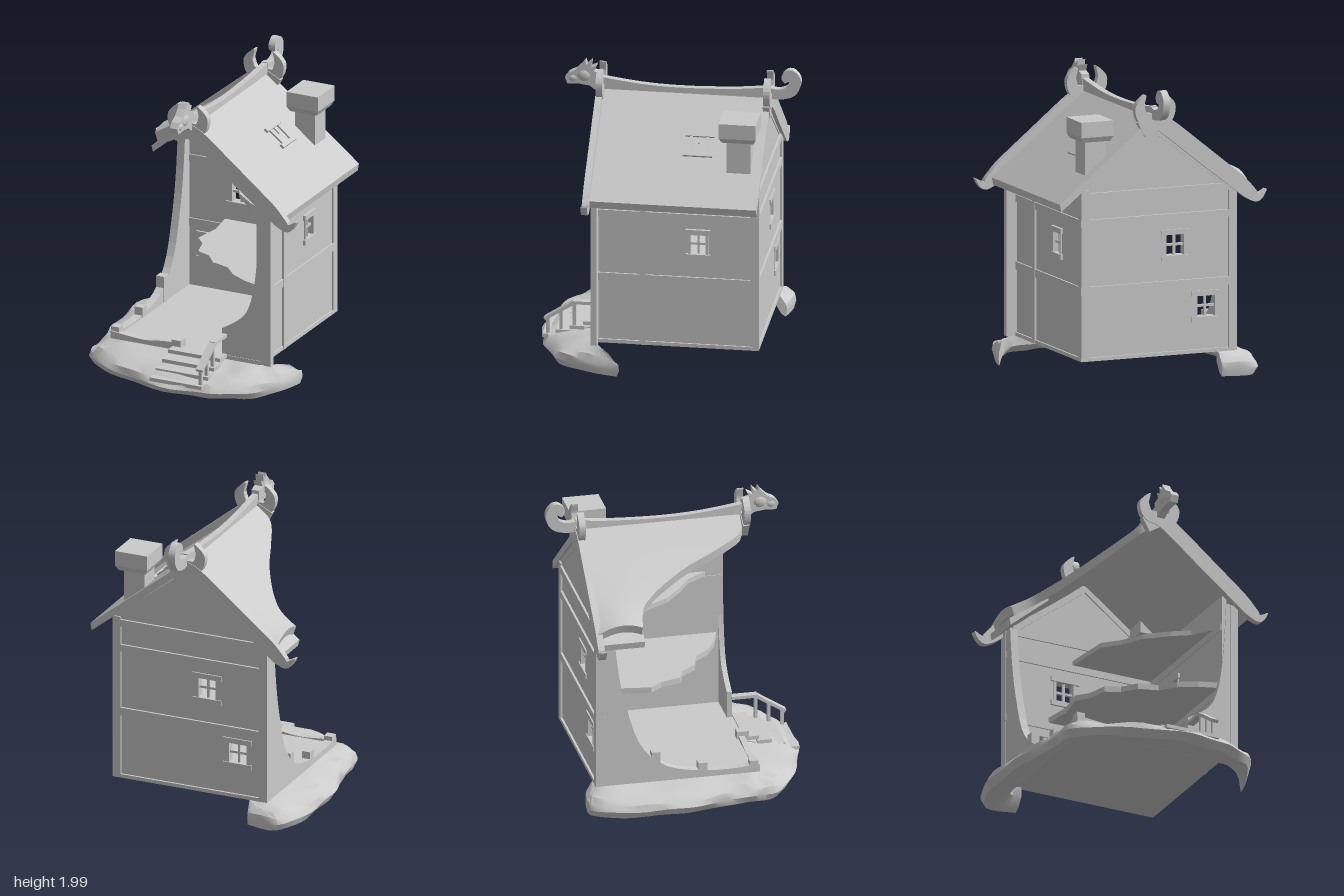
import * as THREE from 'three';
import { toCreasedNormals } from 'three/addons/utils/BufferGeometryUtils.js';

const mat = new THREE.MeshStandardMaterial({ color: 0xcccccc, side: THREE.DoubleSide });
const V2 = (p) => new THREE.Vector2(p[0], p[1]);

function add(parent, geo, name) {
  const m = new THREE.Mesh(geo, mat);
  m.name = name;
  parent.add(m);
  return m;
}

// Box given by its minimum and maximum on each axis
function box(parent, name, x0, x1, y0, y1, z0, z1) {
  const m = add(parent, new THREE.BoxGeometry(x1 - x0, y1 - y0, z1 - z0), name);
  m.position.set((x0 + x1) / 2, (y0 + y1) / 2, (z0 + z1) / 2);
  return m;
}

// Beam between two points
function beam(parent, name, a, b, w, h) {
  const A = new THREE.Vector3(...a), B = new THREE.Vector3(...b);
  const m = add(parent, new THREE.BoxGeometry(w, h, A.distanceTo(B)), name);
  m.position.copy(A).lerp(B, 0.5);
  m.lookAt(B);
  return m;
}

// Flat outline in x,y, extruded from z0 to z1, with rectangular holes [x0, x1, y0, y1]
function plate(parent, name, pts, z0, z1, holes = []) {
  const s = new THREE.Shape(pts.map(V2));
  for (const [a, b, c, d] of holes)
    s.holes.push(new THREE.Path([[a, c], [a, d], [b, d], [b, c]].map(V2)));
  const g = new THREE.ExtrudeGeometry(s, { depth: z1 - z0, bevelEnabled: false });
  g.translate(0, 0, z0);
  return add(parent, g, name);
}

// Same, but the outline lies in z,y and the thickness runs from x0 to x1
function sidePlate(parent, name, pts, x0, x1, holes) {
  const m = plate(parent, name, pts, -x1, -x0, holes);
  m.geometry.rotateY(-Math.PI / 2);
  return m;
}

const smooth = (pts, n = 24) => new THREE.SplineCurve(pts.map(V2)).getPoints(n).map((p) => [p.x, p.y]);

// Outline of a curved band with a width at each point of its centre line
function band(pts, widths, n = 48) {
  const c = new THREE.SplineCurve(pts.map(V2)), l = [], r = [];
  for (let i = 0; i <= n; i++) {
    const t = i / n, p = c.getPoint(t), d = c.getTangent(t);
    const f = t * (widths.length - 1), k = Math.min(Math.floor(f), widths.length - 2);
    const w = THREE.MathUtils.lerp(widths[k], widths[k + 1], f - k) / 2;
    l.push([p.x - d.y * w, p.y + d.x * w]);
    r.unshift([p.x + d.y * w, p.y - d.x * w]);
  }
  return l.concat(r);
}

// Closed solid from a row of equal loops of points
function loft(rings, crease) {
  const n = rings[0].length, last = (rings.length - 1) * n, idx = [];
  for (let i = 0; i < rings.length - 1; i++)
    for (let j = 0; j < n; j++) {
      const a = i * n + j, b = i * n + (j + 1) % n;
      idx.push(a, b, b + n, a, b + n, a + n);
    }
  for (let j = 0; j < n / 2 - 1; j++) {
    const a = j, b = j + 1, c = n - 2 - j, d = n - 1 - j;
    idx.push(a, c, b, a, d, c, last + a, last + b, last + c, last + a, last + c, last + d);
  }
  const g = new THREE.BufferGeometry();
  g.setAttribute('position', new THREE.Float32BufferAttribute(rings.flat(2), 3));
  g.setIndex(idx);
  return toCreasedNormals(g, crease);
}

// Window frame around an opening centred on the origin, facing z
function windowFrame(parent, name, w, h) {
  const g = new THREE.Group();
  g.name = name;
  for (const s of [-1, 1]) {
    box(g, 'lintel', -0.105, 0.105, s * (h / 2 + 0.018) - 0.018, s * (h / 2 + 0.018) + 0.018, -0.035, 0.035);
    box(g, 'jamb', s * (w / 2 + 0.01) - 0.01, s * (w / 2 + 0.01) + 0.01, -h / 2, h / 2, -0.028, 0.028);
  }
  box(g, 'mullion', -0.008, 0.008, -h / 2, h / 2, -0.01, 0.01);
  box(g, 'crossBar', -w / 2, w / 2, -0.008, 0.008, -0.01, 0.01);
  parent.add(g);
  return g;
}

export function createModel() {
  const model = new THREE.Group();
  model.name = 'cutawayHouse';

  // Ground: a rocky crescent around the front and the right side, hollow beneath
  const outer = smooth([[-0.47, -0.7], [-0.7, -0.72], [-0.8, -0.5], [-0.815, -0.2], [-0.795, 0.05], [-0.735, 0.3], [-0.725, 0.45],
    [-0.67, 0.6], [-0.42, 0.74], [-0.1, 0.85], [0.2, 0.86], [0.4, 0.8], [0.57, 0.71], [0.68, 0.5], [0.74, 0.26]], 56);
  const inner = smooth([[-0.46, -0.62], [-0.54, -0.62], [-0.56, -0.5], [-0.56, -0.2], [-0.56, 0.05], [-0.56, 0.3], [-0.55, 0.41],
    [-0.5, 0.44], [-0.35, 0.45], [-0.1, 0.45], [0.2, 0.45], [0.36, 0.45], [0.5, 0.45], [0.57, 0.43], [0.66, 0.38]], 56);
  const section = [[0, 0.168], [0.35, 0.15], [0.75, 0.12], [0.95, 0.09], [1.02, 0.055], [0.9, 0.006], [0.5, 0.03], [0, 0.1]];
  add(model, loft(outer.map((o, i) => section.map(([t, y], j) => {
    const k = t + (t > 0.3 ? 0.03 * Math.sin(i * 1.1 + j) - 0.02 : 0);
    return [inner[i][0] + (o[0] - inner[i][0]) * k, y + (j > 0 && j < 4 ? 0.014 * Math.sin(i * 0.8 + j * 2) : 0),
      inner[i][1] + (o[1] - inner[i][1]) * k];
  })), 0.7), 'ground');

  // Floors: the upper two end in a jagged break
  box(model, 'groundFloor', -0.59, 0.53, 0.168, 0.195, -0.63, 0.47);
  const slab = (name, edge, y0, y1) =>
    plate(model, name, [[0.51, -0.6], ...edge], -y1, -y0).geometry.rotateX(Math.PI / 2);
  slab('upperFloor', [[0.51, 0.42], [0.36, 0.37], [0.24, 0.3], [0.15, 0.2], [0.02, 0.16], [-0.06, 0.06], [-0.16, 0.02], [-0.2, -0.12],
    [-0.27, -0.2], [-0.24, -0.4], [-0.27, -0.6]], 0.67, 0.71);
  slab('atticFloor', [[0.51, 0.36], [0.4, 0.2], [0.28, 0.12], [0.14, 0], [0.05, -0.15], [-0.05, -0.25], [-0.09, -0.6]], 1.13, 1.165);

  // Walls: the left one is set in behind the front corner
  const backHoles = [[-0.213, -0.087, 0.845, 0.985], [-0.44, -0.31, 0.415, 0.555]];
  plate(model, 'backWall', [[-0.59, 0.17], [0.53, 0.17], [0.53, 1.33], [0, 1.74], [-0.59, 1.28]], -0.64, -0.595, backHoles);
  sidePlate(model, 'leftWall', [[-0.64, 0.17], [0.46, 0.17], [0.46, 1.33], [-0.64, 1.33]], 0.495, 0.53, [[-0.31, -0.18, 0.845, 0.985]]);
  sidePlate(model, 'brokenRightWall', [[-0.64, 0.17], [0.46, 0.17], ...smooth([[0.46, 0.23], [0.3, 0.21], [0.05, 0.22], [-0.18, 0.28],
    [-0.35, 0.45], [-0.45, 0.75], [-0.5, 1.0], [-0.53, 1.28]]), [-0.64, 1.28]], -0.59, -0.535);
  plate(model, 'brokenFrontWall', [[0.24, 0.17], [0.605, 0.17], [0.605, 1.27], ...smooth([[0.525, 1.28], [0.51, 1.0], [0.48, 0.72],
    [0.43, 0.54], [0.35, 0.45], [0.24, 0.38]])], 0.43, 0.465);
  plate(model, 'brokenFrontSill', [[-0.59, 0.17], [-0.1, 0.17], ...smooth([[-0.1, 0.22], [-0.2, 0.215], [-0.35, 0.2], [-0.59, 0.22]])], 0.43, 0.47);
  box(model, 'sillBlock', -0.12, -0.05, 0.19, 0.25, 0.42, 0.5);

  // Corner posts, broken post stumps and horizontal beams
  box(model, 'frontPost', 0.555, 0.607, 0.17, 1.27, 0.43, 0.472);
  for (const [x, z, top] of [[0.51, -0.625, 1.33], [-0.565, -0.625, 1.28], [-0.56, 0.43, 0.25], [-0.56, 0.08, 0.27], [-0.56, -0.24, 0.38]])
    box(model, 'post', x - 0.03, x + 0.03, 0.17, top, z - 0.03, z + 0.03);
  box(model, 'wallPost', 0.52, 0.545, 0.17, 1.3, 0.11, 0.15);
  for (const [y0, y1] of [[0.17, 0.195], [0.62, 0.675], [1.08, 1.13], [1.26, 1.31]]) {
    box(model, 'backBeam', -0.595, 0.54, y0, y1, -0.655, -0.585);
    if (y1 < 1.2) box(model, 'leftBeam', 0.49, 0.542, y0, y1, -0.65, 0.45);
  }
  for (const s of [-1, 1]) beam(model, 'gableBeam', [0, 1.71, -0.615], [s * 0.53, 1.305, -0.615], 0.06, 0.04);

  // Windows
  windowFrame(model, 'upperBackWindow', 0.126, 0.14).position.set(-0.15, 0.915, -0.615);
  windowFrame(model, 'lowerBackWindow', 0.13, 0.14).position.set(-0.375, 0.485, -0.615);
  const side = windowFrame(model, 'leftWindow', 0.13, 0.14);
  side.position.set(0.515, 0.915, -0.245);
  side.scale.x = 0.8;
  side.rotation.y = Math.PI / 2;

  // Whole roof half, and the flat lower layer left under the torn half
  plate(model, 'leftRoof', [[0, 1.75], [0.69, 1.2], [0.7, 1.25], [0, 1.81]], -0.66, 0.47);
  plate(model, 'rightEave', [[-0.4, 1.44], [-0.4, 1.48], [-0.69, 1.25], [-0.68, 1.205]], -0.65, -0.34);

  // Torn roof half, its lower corner swelling outwards
  const cut = new THREE.SplineCurve([[0, 0.46], [-0.12, 0.44], [-0.22, 0.23], [-0.3, 0.03], [-0.4, -0.15], [-0.48, -0.26],
    [-0.55, -0.32], [-0.67, -0.35]].map(V2));
  const roofRings = cut.getPoints(28).map((p) => {
    const u = -p.x / 0.67, top = [], low = [];
    for (let j = 0; j <= 10; j++) {
      const z = THREE.MathUtils.lerp(p.y, -0.66, j / 10);
      const y = 1.81 + 0.8 * p.x + 0.1 * u * u * Math.sin(Math.PI * (0.25 + 0.06 * j));
      top.push([p.x, y, z]);
      low.unshift([p.x + 0.02 * u, y - 0.06, z]);
    }
    return top.concat(low);
  });
  add(model, loft(roofRings, 0.7), 'tornRightRoof');

  // Barge boards: a horn at the crossing, and a curl at the eave on the long ones
  const horn = [[-0.07, 1.95], [-0.112, 1.87], [-0.085, 1.79], [0, 1.77]];
  const eave = [[0.1, 1.715], [0.35, 1.515], [0.6, 1.315], [0.69, 1.235], [0.75, 1.2], [0.81, 1.25]];
  const barge = (name, s, long, z0, z1) => {
    const pts = long ? [...horn, ...eave] : [...horn, eave[0]];
    const w = long ? [0.005, 0.07, 0.085, 0.1, 0.115, 0.115, 0.11, 0.09, 0.055, 0.004] : [0.005, 0.07, 0.085, 0.1, 0.11];
    plate(model, name, band(pts.map(([x, y]) => [s * x + 0.005, y]), w), z0, z1);
  };
  barge('frontLeftBarge', 1, true, 0.465, 0.51);
  barge('frontRightBarge', -1, false, 0.46, 0.505);
  barge('backRightBarge', -1, true, -0.67, -0.625);
  barge('backLeftBarge', 1, false, -0.665, -0.62);

  // Sagging ridge with a curled tail
  sidePlate(model, 'ridgeBeam', [[0.52, 1.79], [-0.66, 1.79], ...smooth([[-0.66, 1.87], [-0.45, 1.845], [-0.1, 1.83], [0.2, 1.84], [0.52, 1.88]])], -0.012, 0.032);
  sidePlate(model, 'ridgeTail', band([[-0.62, 1.83], [-0.72, 1.82], [-0.8, 1.85], [-0.825, 1.92], [-0.795, 1.96], [-0.765, 1.94], [-0.78, 1.915]],
    [0.08, 0.07, 0.08, 0.08, 0.08, 0.065, 0.045]), -0.014, 0.034);

  // Carved beast head with a spiky mane
  const head = new THREE.Group();
  head.name = 'ridgeHead';
  head.position.x = 0.01;
  model.add(head);
  sidePlate(head, 'headProfile', [[0.47, 1.79], [0.52, 1.78], [0.56, 1.81], [0.63, 1.82], [0.71, 1.815], [0.727, 1.86], [0.7, 1.895],
    [0.65, 1.92], [0.61, 1.96], [0.59, 1.99], [0.58, 1.955], [0.545, 1.99], [0.55, 1.94], [0.51, 1.96], [0.53, 1.915], [0.48, 1.9]], -0.028, 0.028);
  for (const [name, y, z, sx, sy, sz] of [['muzzle', 1.858, 0.675, 0.036, 0.036, 0.045], ['cheek', 1.88, 0.6, 0.04, 0.055, 0.06]]) {
    const m = add(head, new THREE.SphereGeometry(1, 16, 10), name);
    m.scale.set(sx, sy, sz);
    m.position.set(0, y, z);
  }

  // Chimney, its cap tapering only at the lower edge
  box(model, 'chimneyStack', 0.335, 0.485, 1.4, 1.68, -0.59, -0.43);
  const capGeo = new THREE.BoxGeometry(0.235, 0.14, 0.25, 1, 4, 1), cp = capGeo.attributes.position;
  for (let i = 0; i < cp.count; i++)
    if (cp.getY(i) < -0.06) cp.setXYZ(i, cp.getX(i) * 0.84, cp.getY(i), cp.getZ(i) * 0.86);
  add(model, toCreasedNormals(capGeo, 0.3), 'chimneyCap').position.set(0.414, 1.72, -0.508);

  // Skylight lying on the roof slope
  const sky = new THREE.Group();
  sky.name = 'skylight';
  sky.position.set(0.33, 1.545, -0.22);
  sky.rotation.z = -Math.atan(0.8);
  model.add(sky);
  for (const s of [-1, 1]) {
    box(sky, 'skylightRail', s * 0.075 - 0.015, s * 0.075 + 0.015, -0.03, 0.018, -0.1, 0.1);
    box(sky, 'skylightJamb', -0.08, 0.08, -0.03, 0.012, s * 0.055 - 0.01, s * 0.055 + 0.01);
  }
  box(sky, 'skylightBar', -0.07, -0.01, -0.02, 0.01, -0.007, 0.007);

  // Front steps and handrail
  for (let i = 0; i < 4; i++) {
    const z = 0.47 + i * 0.092, y = 0.205 - i * 0.035;
    box(model, 'step', -0.11, 0.28, y - 0.025, y, z, z + 0.1);
  }
  for (const x of [-0.08, 0.25]) beam(model, 'stringer', [x, 0.15, 0.47], [x, 0.06, 0.82], 0.03, 0.05);
  beam(model, 'handrailTop', [0.255, 0.335, 0.46], [0.255, 0.335, 0.64], 0.05, 0.022);
  beam(model, 'handrailSlope', [0.255, 0.335, 0.63], [0.255, 0.205, 0.83], 0.05, 0.022);
  for (const [z, y0, y1] of [[0.63, 0.15, 0.33], [0.72, 0.11, 0.27], [0.81, 0.08, 0.21]])
    box(model, 'handrailPost', 0.243, 0.267, y0, y1, z - 0.011, z + 0.011);

  return model;
}
